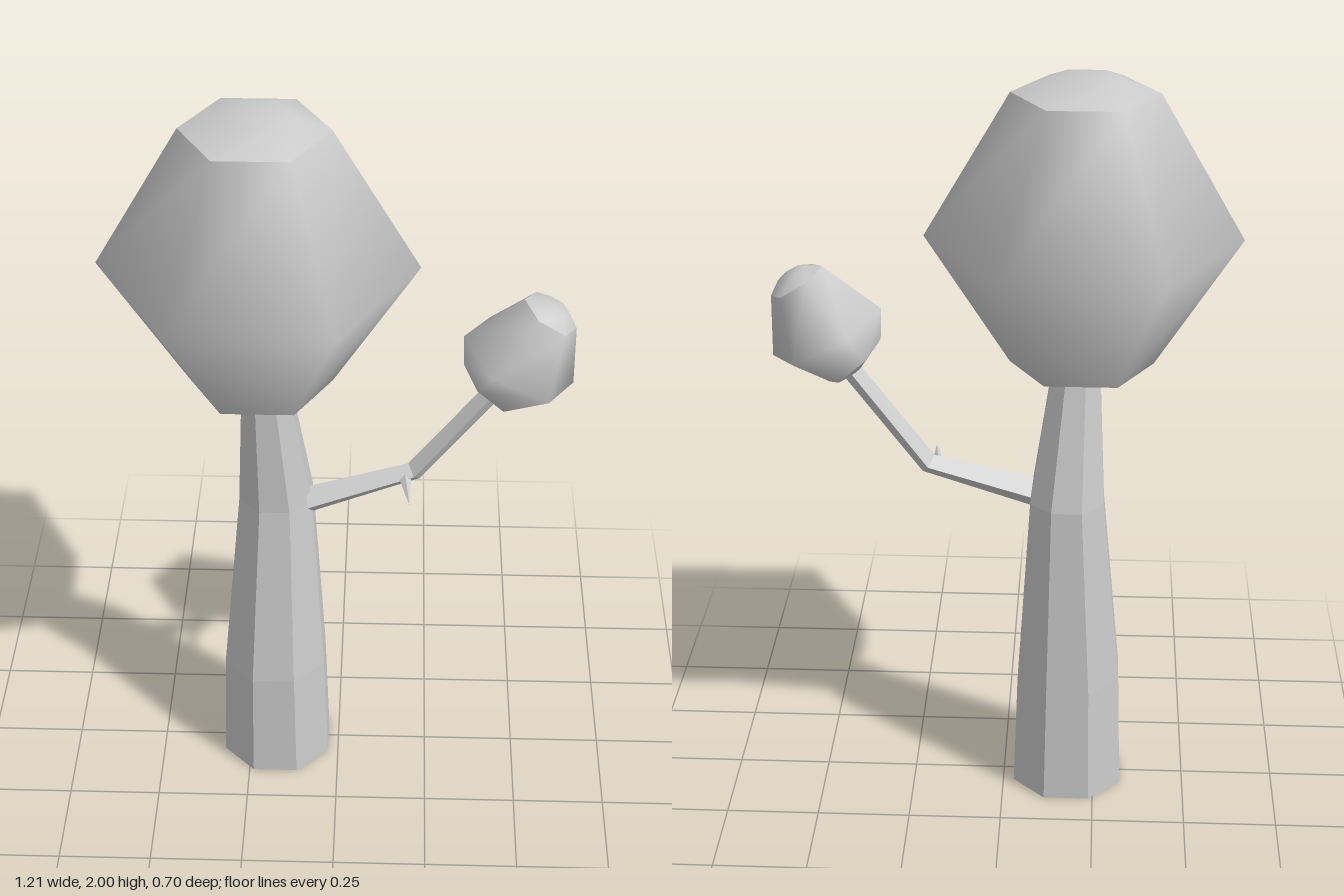
import * as THREE from 'three';

const smooth = new THREE.MeshStandardMaterial({ color: 0xcccccc });
const faceted = new THREE.MeshStandardMaterial({ color: 0xcccccc, flatShading: true });

// Skin over rings [cx, cy, cz, ux, uy, rz]: (ux, uy) is the radius vector in the
// side plane, rz the radius along z. Rings run from the bottom to the top.
function loft(name, rings, sides, material, turn = 0) {
  const pos = [], index = [];
  for (const [cx, cy, cz, ux, uy, rz] of rings) {
    for (let i = 0; i < sides; i++) {
      const a = turn + (i / sides) * Math.PI * 2;
      const c = Math.cos(a), s = Math.sin(a);
      pos.push(cx + c * ux, cy + c * uy, cz + s * rz);
    }
  }
  for (let r = 0; r < rings.length - 1; r++) {
    for (let i = 0; i < sides; i++) {
      const a = r * sides + i, b = r * sides + (i + 1) % sides;
      index.push(a, a + sides, b, b, a + sides, b + sides);
    }
  }
  const geo = new THREE.BufferGeometry();
  geo.setAttribute('position', new THREE.Float32BufferAttribute(pos, 3));
  geo.setIndex(index);
  geo.computeVertexNormals();
  const mesh = new THREE.Mesh(geo, material);
  mesh.name = name;
  return mesh;
}

// Level ring, and a ring shrunk to its centre for closing an end
const level = (x, y, z, r) => [x, y, z, r, 0, r];
const centre = ([x, y, z]) => [x, y, z, 0, 0, 0];
// Tilted ring spanning two points in the side plane
const span = (ax, ay, bx, by, rz) =>
  [(ax + bx) / 2, (ay + by) / 2, 0, (bx - ax) / 2, (by - ay) / 2, rz];

// Six-sided foliage: smooth sides with separate end faces for crisp rims
function foliage(name, bottom, sides, top) {
  const group = new THREE.Group();
  group.name = name;
  group.add(
    loft('foliageUnderside', [centre(bottom[0]), ...bottom], 6, smooth),
    loft('foliageSides', sides, 6, smooth),
    loft('foliageTop', [...top, centre(top[top.length - 1])], 6, smooth)
  );
  return group;
}

export function createModel() {
  const tree = new THREE.Group();
  tree.name = 'tree';

  // Bent, tapering eight-sided trunk
  const k = 1 / Math.cos(Math.PI / 8);
  const trunk = [
    level(-0.177, 0, 0, 0.148 * k),
    level(-0.177, 0.33, 0, 0.138 * k),
    level(-0.168, 0.87, -0.025, 0.097 * k),
    level(-0.188, 1.25, 0.012, 0.06 * k),
    level(-0.19, 1.3, 0.015, 0.055 * k)
  ];
  tree.add(loft('trunk', [centre(trunk[0]), ...trunk, centre(trunk[4])], 8, faceted, Math.PI / 8));

  // Large crown
  const low = level(-0.2, 1.25, 0, 0.186);
  const high = level(-0.2, 1.965, 0, 0.186);
  tree.add(foliage('largeCrown', [low],
    [low, level(-0.2, 1.59, 0, 0.405), high],
    [high, level(-0.2, 2, 0, 0.095)]));

  // Elbowed four-sided branch
  const branch = [
    [-0.08, 0.87, 0.008, 0.01, -0.04, 0.042],
    [0.2, 0.957, -0.01, 0.016, -0.024, 0.03],
    [0.41, 1.235, -0.005, 0.022, -0.016, 0.022]
  ];
  tree.add(loft('branch', [centre(branch[0]), ...branch, centre(branch[2])], 4, faceted));

  // Short pointed twig at the elbow
  const twig = new THREE.Mesh(new THREE.ConeGeometry(0.018, 0.13, 4), faceted);
  twig.name = 'twig';
  twig.rotation.set(Math.PI / 2, 0, -0.1);
  twig.scale.z = 0.7;
  twig.position.set(0.182, 0.948, 0.065);
  tree.add(twig);

  // Small crown leaning outwards at the end of the branch
  const lowTilt = span(0.32, 1.305, 0.457, 1.183, 0.09);
  const highTilt = span(0.465, 1.503, 0.6, 1.42, 0.08);
  tree.add(foliage('smallCrown',
    [span(0.365, 1.24, 0.395, 1.213, 0.035), lowTilt],
    [lowTilt, span(0.317, 1.39, 0.602, 1.255, 0.167), highTilt],
    [highTilt, span(0.515, 1.502, 0.58, 1.463, 0.04)]));

  return tree;
}
